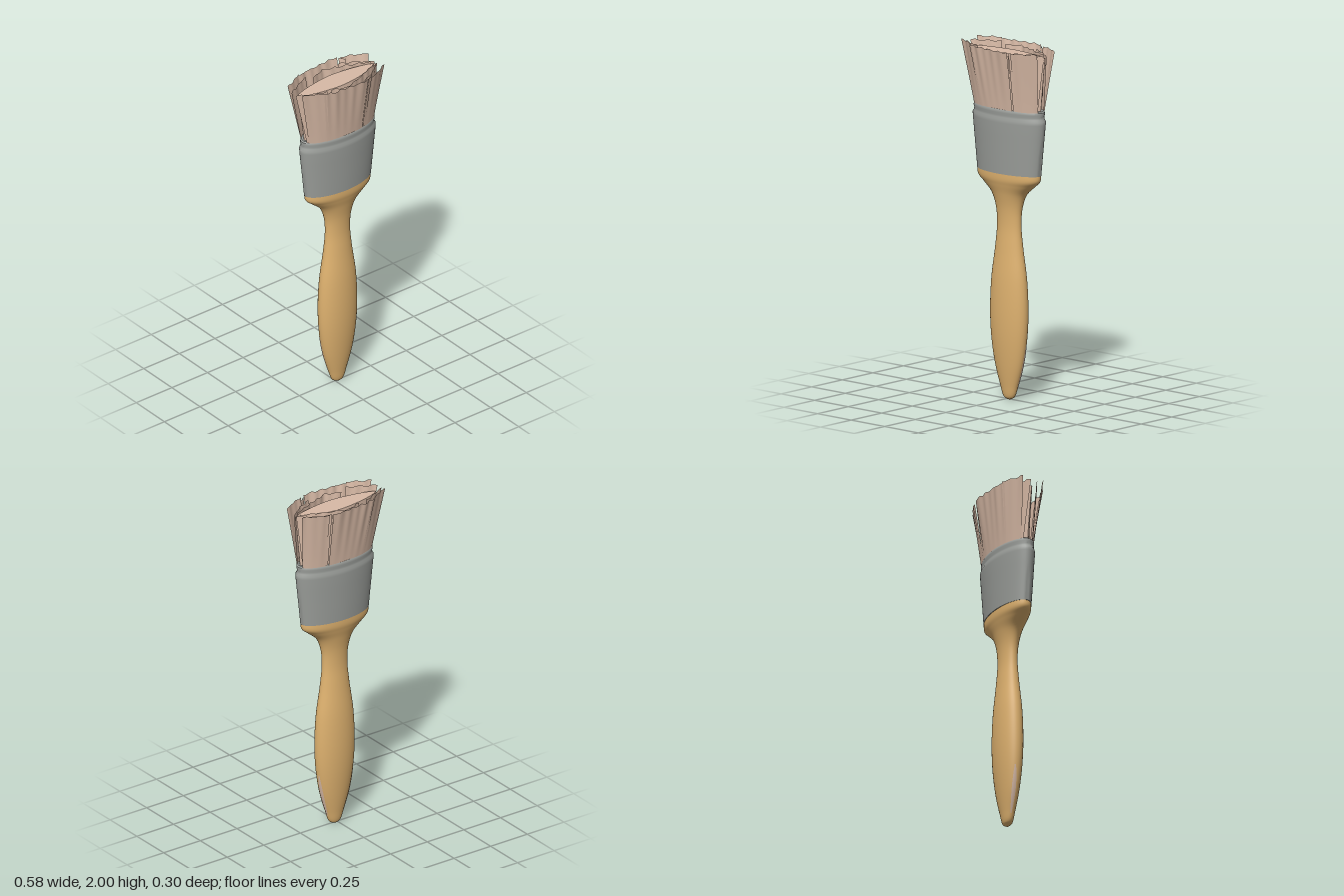
import * as THREE from 'three';
import { toCreasedNormals } from 'three/addons/utils/BufferGeometryUtils.js';

const CX = 0.017; // the handle and ferrule axis sits slightly off centre

// Point on a superellipse section
function sectionPoint(t, hx, hz, n) {
  const c = Math.cos(t), s = Math.sin(t), p = 2 / n;
  return [Math.sign(c) * Math.abs(c) ** p * hx, Math.sign(s) * Math.abs(s) ** p * hz];
}

// Closed skin over sections [y, half width, half depth, centre x]
function loft(rows, n = 2, seg = 56) {
  const pos = [], idx = [];
  for (const [y, hx, hz, cx = CX] of rows) {
    for (let i = 0; i < seg; i++) {
      const [x, z] = sectionPoint((i / seg) * Math.PI * 2, hx, hz, n);
      pos.push(cx + x, y, z);
    }
  }
  for (let j = 0; j < rows.length - 1; j++) {
    for (let i = 0; i < seg; i++) {
      const a = j * seg + i, b = j * seg + (i + 1) % seg;
      idx.push(a, a + seg, b, b, a + seg, b + seg);
    }
  }
  const last = rows.length - 1, bottom = pos.length / 3;
  for (const r of [rows[0], rows[last]]) pos.push(r[3] ?? CX, r[0], 0);
  for (let i = 0; i < seg; i++) {
    const k = (i + 1) % seg;
    idx.push(bottom, i, k, bottom + 1, last * seg + k, last * seg + i);
  }
  return finish(pos, idx);
}

// Open grid of (cols + 1) x (rows + 1) points given by a rule
function sheet(cols, rows, rule) {
  const pos = [], idx = [], w = cols + 1;
  for (let j = 0; j <= rows; j++)
    for (let i = 0; i <= cols; i++) pos.push(...rule(i / cols, j / rows));
  for (let j = 0; j < rows; j++)
    for (let i = 0; i < cols; i++) {
      const a = j * w + i;
      idx.push(a, a + 1, a + w, a + 1, a + w + 1, a + w);
    }
  return finish(pos, idx);
}

function finish(pos, idx) {
  const g = new THREE.BufferGeometry();
  g.setAttribute('position', new THREE.Float32BufferAttribute(pos, 3));
  g.setIndex(idx);
  g.computeVertexNormals();
  return g;
}

export function createModel() {
  const model = new THREE.Group();
  model.name = 'paintbrush';
  const make = (name, color, side = THREE.FrontSide) => {
    const m = new THREE.MeshStandardMaterial({ color, side });
    m.name = name;
    return m;
  };
  const wood = make('wood', 0xdfb26f);
  const metal = make('metal', 0x9b9e9a);
  const bristle = make('bristle', 0xd8baa6, THREE.DoubleSide);
  const add = (name, geometry, material, parent = model) => {
    const mesh = new THREE.Mesh(geometry, material);
    mesh.name = name;
    parent.add(mesh);
    return mesh;
  };

  // Wooden handle: half width, y, half depth
  const profile = new THREE.CatmullRomCurve3([
    [0.012, 0, 0.010], [0.036, 0.015, 0.024], [0.060, 0.08, 0.036], [0.096, 0.2, 0.053],
    [0.120, 0.35, 0.067], [0.127, 0.5, 0.072], [0.118, 0.68, 0.068], [0.092, 0.86, 0.054],
    [0.081, 0.98, 0.046], [0.088, 1.08, 0.050], [0.119, 1.16, 0.064], [0.180, 1.215, 0.079],
    [0.219, 1.25, 0.087], [0.222, 1.30, 0.088],
  ].map(p => new THREE.Vector3(...p)), false, 'centripetal');
  const handleRows = profile.getPoints(78).map(p => [p.y, p.x, p.z]);
  add('handle', loft(handleRows), wood);

  // Thin worn paint marks on both narrow edges of the handle
  const worn = handleRows.filter(r => r[0] > 0.05 && r[0] < 0.35);
  for (const side of [1, -1]) {
    add('wornMark', sheet(6, worn.length - 1, (u, v) => {
      const [y, hx, hz] = worn[Math.round(v * (worn.length - 1))];
      const t = -0.2 + (u - 0.5) * 0.42 * Math.sin(Math.PI * (0.08 + 0.84 * v));
      const [x, z] = sectionPoint(t, hx + 0.002, hz + 0.002, 2);
      return [CX + side * x, y, z];
    }), bristle);
  }

  // Metal ferrule with a pressed groove and rim
  add('ferrule', toCreasedNormals(loft([
    [1.283, 0.218, 0.086], [1.283, 0.226, 0.092], [1.40, 0.238, 0.098], [1.50, 0.249, 0.102],
    [1.575, 0.257, 0.106], [1.593, 0.258, 0.106], [1.606, 0.249, 0.101], [1.618, 0.247, 0.100],
    [1.632, 0.251, 0.103], [1.645, 0.250, 0.102], [1.652, 0.242, 0.097],
  ], 1.9), 0.7), metal);

  const bristles = new THREE.Group();
  bristles.name = 'bristles';
  model.add(bristles);

  // Inner bristle core with a pointed, lens-shaped end
  add('bristleCore', toCreasedNormals(loft([
    [1.63, 0.232, 0.080, 0.018], [1.75, 0.246, 0.074, 0.016],
    [1.86, 0.260, 0.068, 0.013], [1.955, 0.274, 0.062, 0.010],
  ], 1.5), 0.7), bristle, bristles);

  // Splayed bristle layers: top edge as [x, z], depth at the ferrule, height
  const layers = [
    ['outerBristles', [[-0.17, 0.120], [-0.10, 0.135], [0, 0.141], [0.09, 0.150], [0.125, 0.138]], 1.0, 1.992],
    ['outerSplit', [[0.131, 0.132], [0.165, 0.117]], 0.98, 1.985],
    ['leftFlap', [[-0.282, 0.062], [-0.22, 0.090], [-0.155, 0.127]], 0.99, 2.0],
    ['leftInnerFlap', [[-0.29, 0.018], [-0.22, 0.056], [-0.13, 0.100]], 0.9, 1.985],
    ['rightFlap', [[0.147, 0.138], [0.22, 0.108], [0.29, 0.070]], 1.0, 1.99],
    ['rightInnerFlap', [[0.11, 0.115], [0.19, 0.080], [0.286, 0.010]], 0.9, 1.97],
    ['innerBristles', [[-0.09, 0.080], [0, 0.114], [0.13, 0.070], [0.26, 0.015]], 0.85, 1.975],
  ];
  for (const [name, edge, depth, height] of layers) {
    const x0 = edge[0][0], x1 = edge[edge.length - 1][0];
    const cols = Math.max(6, Math.round((x1 - x0) * 120));
    const edgeZ = x => {
      let k = 0;
      while (k < edge.length - 2 && x > edge[k + 1][0]) k++;
      const [xa, za] = edge[k], [xb, zb] = edge[k + 1];
      return za + (zb - za) * (x - xa) / (xb - xa);
    };
    for (const side of [1, -1]) {
      add(name, sheet(cols, 8, (u, v) => {
        const xt = x0 + (x1 - x0) * u;
        const xb = 0.019 + 0.81 * xt;
        const zb = depth * 0.097 * Math.sqrt(Math.max(0, 1 - ((xb - CX) / 0.245) ** 2));
        const ripple = 0.0022 * v * (Math.sin(xt * 110) + 0.6 * Math.sin(xt * 63 + 1));
        const top = height - 0.008 * Math.abs(Math.sin(xt * 47));
        return [xb + (xt - xb) * v, 1.635 + (top - 1.635) * v,
          side * (zb + (edgeZ(xt) - zb) * v ** 1.1 + ripple)];
      }), bristle, bristles);
    }
  }
  return model;
}
